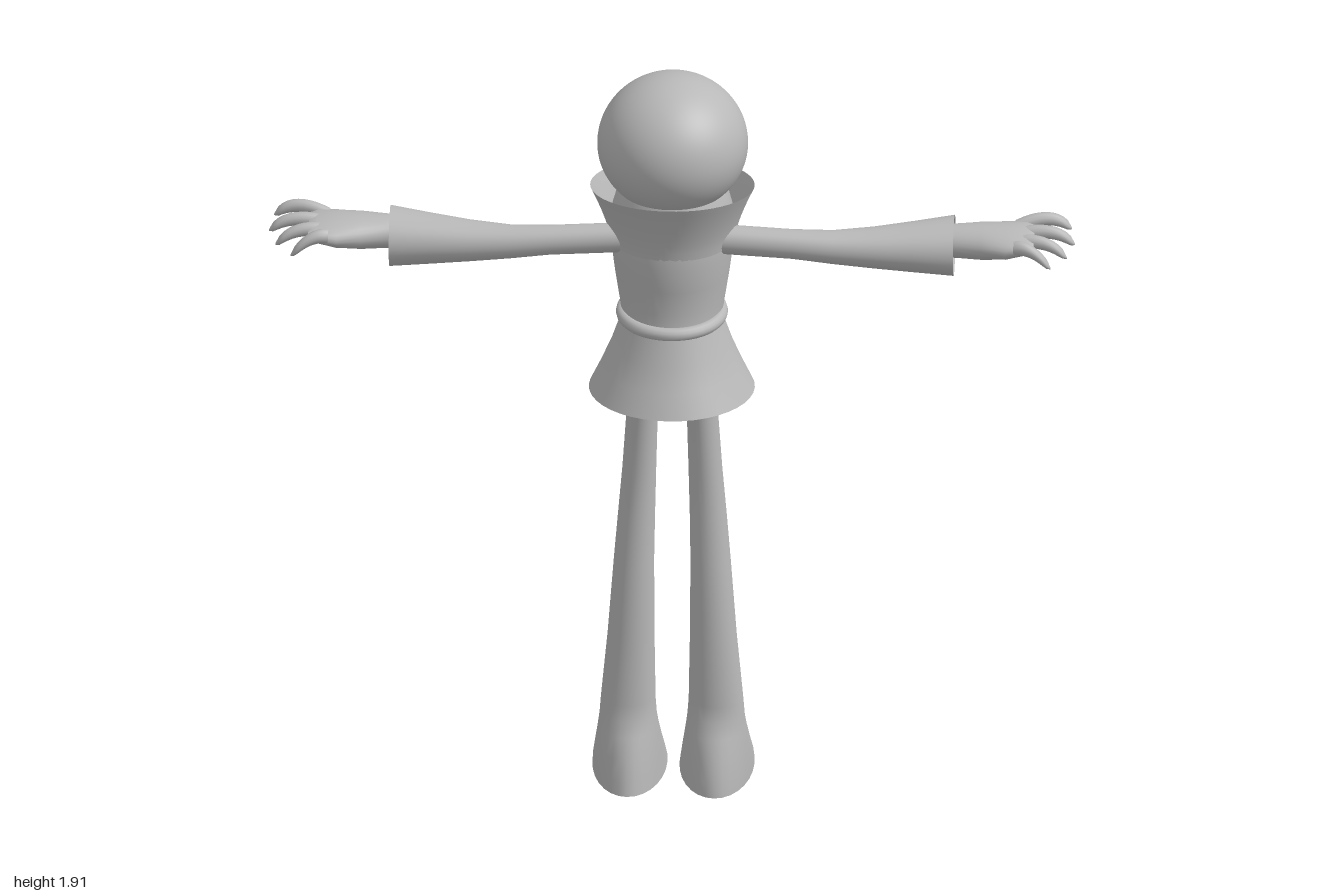
import * as THREE from 'three';
import { mergeVertices } from 'three/addons/utils/BufferGeometryUtils.js';

// Skin of elliptical rings along an axis; each section is [t, c1, c2, r1, r2]
// axis 'y': t = y, c = (x, z); axis 'x': t = x, c = (y, z)
function loft(axis, sections, { sides = 28, capStart = false, capEnd = false } = {}) {
  const pos = [], idx = [];
  const put = (t, a, b) => (axis === 'y' ? pos.push(a, t, b) : pos.push(t, a, b));
  const tri = (a, b, c) => (axis === 'y' ? idx.push(a, c, b) : idx.push(a, b, c));
  const ring = ([t, c1, c2, r1, r2]) => {
    for (let i = 0; i < sides; i++) {
      const a = (i / sides) * Math.PI * 2;
      put(t, c1 + r1 * Math.cos(a), c2 + r2 * Math.sin(a));
    }
  };
  sections.forEach(ring);
  for (let j = 0; j < sections.length - 1; j++) {
    for (let i = 0; i < sides; i++) {
      const n = (i + 1) % sides, a = j * sides + i, b = j * sides + n;
      tri(a, b, b + sides);
      tri(a, b + sides, a + sides);
    }
  }
  const cap = (s, end) => {
    const base = pos.length / 3;
    ring(s);
    put(s[0], s[1], s[2]);
    for (let i = 0; i < sides; i++) {
      const a = base + i, b = base + ((i + 1) % sides);
      if (end) tri(a, b, base + sides); else tri(b, a, base + sides);
    }
  };
  if (capStart) cap(sections[0], false);
  if (capEnd) cap(sections[sections.length - 1], true);
  return build(pos, idx);
}

function build(pos, idx) {
  const g = new THREE.BufferGeometry();
  g.setAttribute('position', new THREE.Float32BufferAttribute(pos, 3));
  g.setIndex(idx);
  g.computeVertexNormals();
  return g;
}

// Copy reflected in x, with the corner order restored
function mirrorX(g) {
  const m = g.clone().scale(-1, 1, 1), ix = m.index.array;
  for (let i = 0; i < ix.length; i += 3) [ix[i + 1], ix[i + 2]] = [ix[i + 2], ix[i + 1]];
  m.computeVertexNormals();
  return m;
}

// Rounded head with two round eye openings
function headGeometry() {
  let g = new THREE.SphereGeometry(1, 80, 60, 0, Math.PI * 2, 0, Math.PI * 0.82);
  g.deleteAttribute('normal');
  g.deleteAttribute('uv');
  g = mergeVertices(g, 1e-4);
  const p = g.attributes.position, v = new THREE.Vector3(), inside = [];
  const eyes = [1, -1].map(s => new THREE.Vector3(s * 0.6, -0.2, -0.775).normalize());
  const r = 0.185;
  for (let i = 0; i < p.count; i++) {
    v.fromBufferAttribute(p, i);
    const e = eyes.find(d => v.angleTo(d) < r);
    inside.push(!!e);
    if (e) {
      const side = v.clone().addScaledVector(e, -v.dot(e)).normalize();
      v.copy(e).multiplyScalar(Math.cos(r)).addScaledVector(side, Math.sin(r));
    }
    p.setXYZ(i, v.x * 0.187, 1.735 + v.y * (v.y > 0 ? 0.178 : 0.17), 0.004 + v.z * 0.196);
  }
  const kept = [], ix = g.index.array;
  for (let i = 0; i < ix.length; i += 3) {
    const t = [ix[i], ix[i + 1], ix[i + 2]];
    if (!t.every(k => inside[k])) kept.push(...t);
  }
  g.setIndex(kept);
  g.computeVertexNormals();
  return g;
}

// Flared collar, open at the face side with two pointed lapels
function collarGeometry() {
  const pos = [], idx = [], nu = 64, nv = 8;
  for (let j = 0; j <= nv; j++) {
    const v = j / nv, f = Math.pow(v, 1.4);
    for (let i = 0; i <= nu; i++) {
      const a = 0.06 + (i / nu) * (Math.PI * 2 - 0.12), c = Math.cos(a);
      const near = Math.min(a, Math.PI * 2 - a);
      const notch = Math.max(0, 1 - near / 0.4);
      const rimY = 1.628 - 0.028 * c - 0.07 * notch;
      const baseY = 1.49 - 0.03 * Math.max(0, c);
      const rx = 0.156 + 0.048 * f, rz = 0.153 + 0.057 * f * (1 - 0.4 * notch);
      pos.push(Math.sin(a) * rx, baseY + (rimY - baseY) * v, 0.022 - c * rz);
    }
  }
  for (let j = 0; j < nv; j++) {
    for (let i = 0; i < nu; i++) {
      const a = j * (nu + 1) + i, b = a + nu + 1;
      idx.push(a, a + 1, b + 1, a, b + 1, b);
    }
  }
  return build(pos, idx);
}

// Finger bent through three points [x, y, z], with a rounded tip
function finger(a, b, c, r) {
  const curve = new THREE.QuadraticBezierCurve3(...[a, b, c].map(q => new THREE.Vector3(...q)));
  const sections = [];
  for (let i = 0; i <= 10; i++) {
    const t = i / 10, q = curve.getPoint(t);
    const k = r * (1 - 0.25 * t) * Math.sqrt(Math.max(0.02, 1 - Math.pow(t, 10)));
    sections.push([q.x, q.y, q.z, k, k]);
  }
  return loft('x', sections, { sides: 12, capEnd: true });
}

export function createModel() {
  const model = new THREE.Group();
  const grey = new THREE.MeshStandardMaterial({ color: 0xb8b8b8, side: THREE.DoubleSide });
  grey.name = 'plain grey';
  const add = (name, g) => {
    const m = new THREE.Mesh(g, grey);
    m.name = name;
    model.add(m);
    return m;
  };
  const pair = (name, g) => {
    add(name + 'Left', g);
    add(name + 'Right', mirrorX(g));
  };

  add('head', headGeometry());
  add('collar', collarGeometry());

  // Body and skirt
  add('torso', loft('y', [
    [1.27, 0, 0.048, 0.122, 0.125], [1.33, 0, 0.034, 0.131, 0.125], [1.4, 0, 0.03, 0.142, 0.143],
    [1.46, 0, 0.025, 0.15, 0.15], [1.52, 0, 0.025, 0.154, 0.151], [1.57, 0, 0.02, 0.15, 0.145],
    [1.62, 0, 0.01, 0.135, 0.14],
  ], { sides: 40 }));
  const belt = add('belt', new THREE.TorusGeometry(0.122, 0.017, 12, 48).rotateX(Math.PI / 2));
  belt.position.set(0, 1.294, 0.05);
  belt.rotation.x = 0.06;
  add('skirt', loft('y', [
    [1.09, 0, 0.057, 0.206, 0.202], [1.15, 0, 0.054, 0.177, 0.176],
    [1.21, 0, 0.051, 0.151, 0.152], [1.285, 0, 0.05, 0.125, 0.13],
  ], { sides: 40, capStart: true }));

  // Legs running into the shoes, joined at the hips
  pair('leg', loft('y', [
    [0, 0.108, -0.05, 0.093, 0.205], [0.035, 0.109, -0.03, 0.09, 0.178],
    [0.09, 0.109, 0.004, 0.083, 0.129], [0.14, 0.109, 0.026, 0.076, 0.087],
    [0.18, 0.109, 0.037, 0.071, 0.06], [0.22, 0.109, 0.038, 0.068, 0.056],
    [0.4, 0.102, 0.034, 0.058, 0.053], [0.6, 0.095, 0.028, 0.05, 0.05],
    [0.72, 0.089, 0.021, 0.046, 0.046], [0.85, 0.082, 0.023, 0.042, 0.045],
    [1.0, 0.075, 0.028, 0.039, 0.046], [1.05, 0.072, 0.032, 0.043, 0.049],
    [1.12, 0.064, 0.036, 0.055, 0.055],
  ], { capStart: true }));
  const hips = add('hips', new THREE.SphereGeometry(1, 24, 16));
  hips.scale.set(0.07, 0.045, 0.045);
  hips.position.set(0, 1.1, 0.033);

  // Sleeves widening to an open cuff
  pair('sleeve', loft('x', [
    [0.12, 1.508, 0.078, 0.037, 0.037], [0.3, 1.5, 0.083, 0.037, 0.037],
    [0.4, 1.491, 0.078, 0.042, 0.043], [0.5, 1.486, 0.066, 0.051, 0.056],
    [0.6, 1.484, 0.053, 0.062, 0.071], [0.7, 1.483, 0.04, 0.074, 0.084],
  ]));

  // Hands
  pair('palm', loft('x', [
    [0.62, 1.495, 0.04, 0.035, 0.045], [0.7, 1.496, 0.04, 0.041, 0.049],
    [0.77, 1.5, 0.046, 0.042, 0.066], [0.83, 1.505, 0.052, 0.036, 0.081],
    [0.88, 1.512, 0.053, 0.027, 0.08], [0.9, 1.514, 0.053, 0.016, 0.07],
  ], { capEnd: true }));
  [[0.99, 1.505, -0.022, -0.004], [1, 1.495, 0.047, 0.04], [0.982, 1.483, 0.1, 0.082], [0.943, 1.47, 0.135, 0.115]]
    .forEach(([x, y, z, rootZ], i) =>
      pair('finger' + (i + 1), finger([0.85, 1.513, rootZ], [x - 0.05, 1.555 - i * 0.008, z - 0.004], [x, y, z], 0.019)));
  pair('thumb', finger([0.72, 1.495, 0.025], [0.8, 1.465, -0.075], [0.888, 1.437, -0.098], 0.027));

  return model;
}
